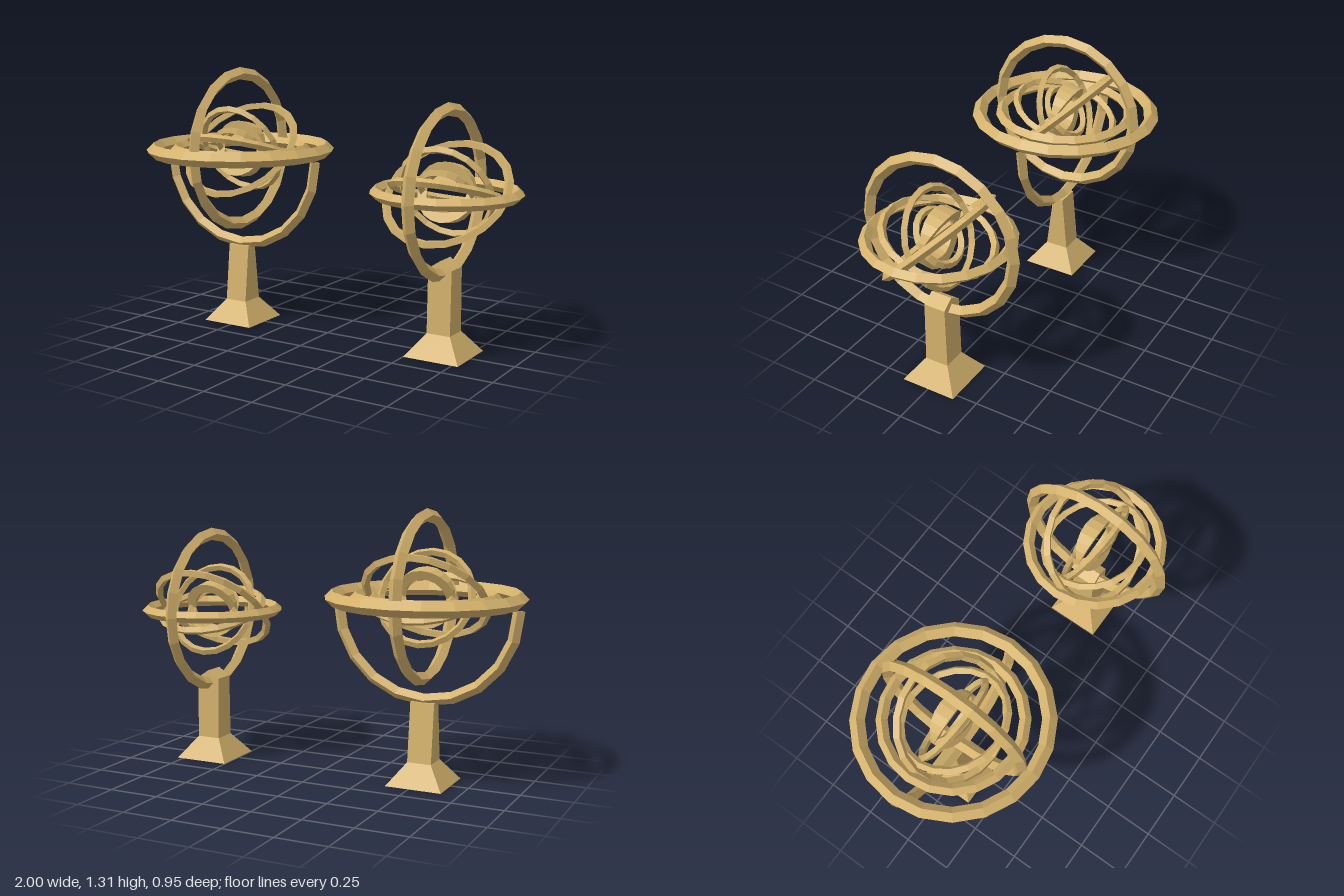
import * as THREE from 'three';

const brass = new THREE.MeshStandardMaterial({ color: 0xd3b16b, flatShading: true, side: THREE.DoubleSide });
brass.name = 'brass';

function part(parent, name, geometry) {
  const mesh = new THREE.Mesh(geometry, brass);
  mesh.name = name;
  parent.add(mesh);
  return mesh;
}

function fromTriangles(points) {
  const g = new THREE.BufferGeometry();
  g.setAttribute('position', new THREE.Float32BufferAttribute(points.flat(), 3));
  g.computeVertexNormals();
  return g;
}

// Four-sided loft; each section is [y, half width, half depth]
function loft(sections) {
  const rings = sections.map(([y, a, b]) => [[a, y, b], [a, y, -b], [-a, y, -b], [-a, y, b]]);
  const pts = [];
  const quad = (a, b, c, d) => pts.push(a, b, c, a, c, d);
  for (let i = 0; i + 1 < rings.length; i++) {
    for (let k = 0; k < 4; k++) {
      const n = (k + 1) % 4;
      quad(rings[i][k], rings[i][n], rings[i + 1][n], rings[i + 1][k]);
    }
  }
  quad(...rings[rings.length - 1]);
  quad(...[...rings[0]].reverse());
  return fromTriangles(pts);
}

// Ring with a diamond section, given by outer radius and bar half thickness
const ring = (outer, r, segs = 20, arc = Math.PI * 2) => new THREE.TorusGeometry(outer - r, r, 4, segs, arc);

// Band that is wide in the middle and pinches to points on the x axis
function pinchedBand(outer, inner, spread, segs = 20) {
  const section = (i) => {
    const t = (i / segs) * Math.PI * 2;
    return [[outer, spread], [outer, -spread], [inner, -spread], [inner, spread]].map(([r, p]) =>
      [r * Math.cos(t), r * Math.sin(t) * Math.cos(p), r * Math.sin(t) * Math.sin(p)]);
  };
  const pts = [];
  for (let i = 0; i < segs; i++) {
    const a = section(i), b = section(i + 1);
    for (let k = 0; k < 4; k++) {
      const n = (k + 1) % 4;
      pts.push(a[k], b[k], b[n], a[k], b[n], a[n]);
    }
  }
  return fromTriangles(pts);
}

// Nested rings shared by both instruments
function nestedRings(y) {
  const g = new THREE.Group();
  g.name = 'nestedRings';
  g.position.y = y;
  part(g, 'meridianRing', ring(0.415, 0.031)).rotation.y = Math.PI / 2;
  part(g, 'horizonRing', ring(0.357, 0.028)).rotation.x = Math.PI / 2;
  // Tilted rings: outer radius, bar half thickness, tilt about x in degrees
  [[0.315, 0.021, -46], [0.278, 0.02, 72], [0.245, 0.019, 23], [0.148, 0.019, 38]].forEach(([R, r, deg], i) => {
    part(g, 'tiltedRing' + (i + 1), ring(R, r)).rotation.x = THREE.MathUtils.degToRad(deg);
  });
  part(g, 'coreBand', pinchedBand(0.147, 0.1, 0.3)).rotation.x = THREE.MathUtils.degToRad(-10);
  return g;
}

export function createModel() {
  const model = new THREE.Group();
  model.name = 'armillaryPair';

  // Large instrument with an outer horizontal ring held by a half-circle cradle
  const large = new THREE.Group();
  large.name = 'largeInstrument';
  large.position.x = -0.522;
  part(large, 'pedestal', loft([[0, 0.14, 0.14], [0.107, 0.06, 0.06], [0.395, 0.06, 0.028]]));
  const cradle = part(large, 'cradle', ring(0.477, 0.029, 10, Math.PI));
  cradle.rotation.z = Math.PI;
  cradle.position.y = 0.853;
  const outerRing = part(large, 'outerHorizonRing', ring(0.477, 0.036));
  outerRing.rotation.x = Math.PI / 2;
  outerRing.position.y = 0.892;
  large.add(nestedRings(0.892));
  model.add(large);

  // Small instrument, its upright ring resting in the gabled column top
  const small = new THREE.Group();
  small.name = 'smallInstrument';
  small.position.x = 0.641;
  part(small, 'pedestal', loft([[0, 0.14, 0.14], [0.107, 0.06, 0.06], [0.418, 0.06, 0.055], [0.458, 0, 0.054]]));
  small.add(nestedRings(0.77));
  model.add(small);

  return model;
}
